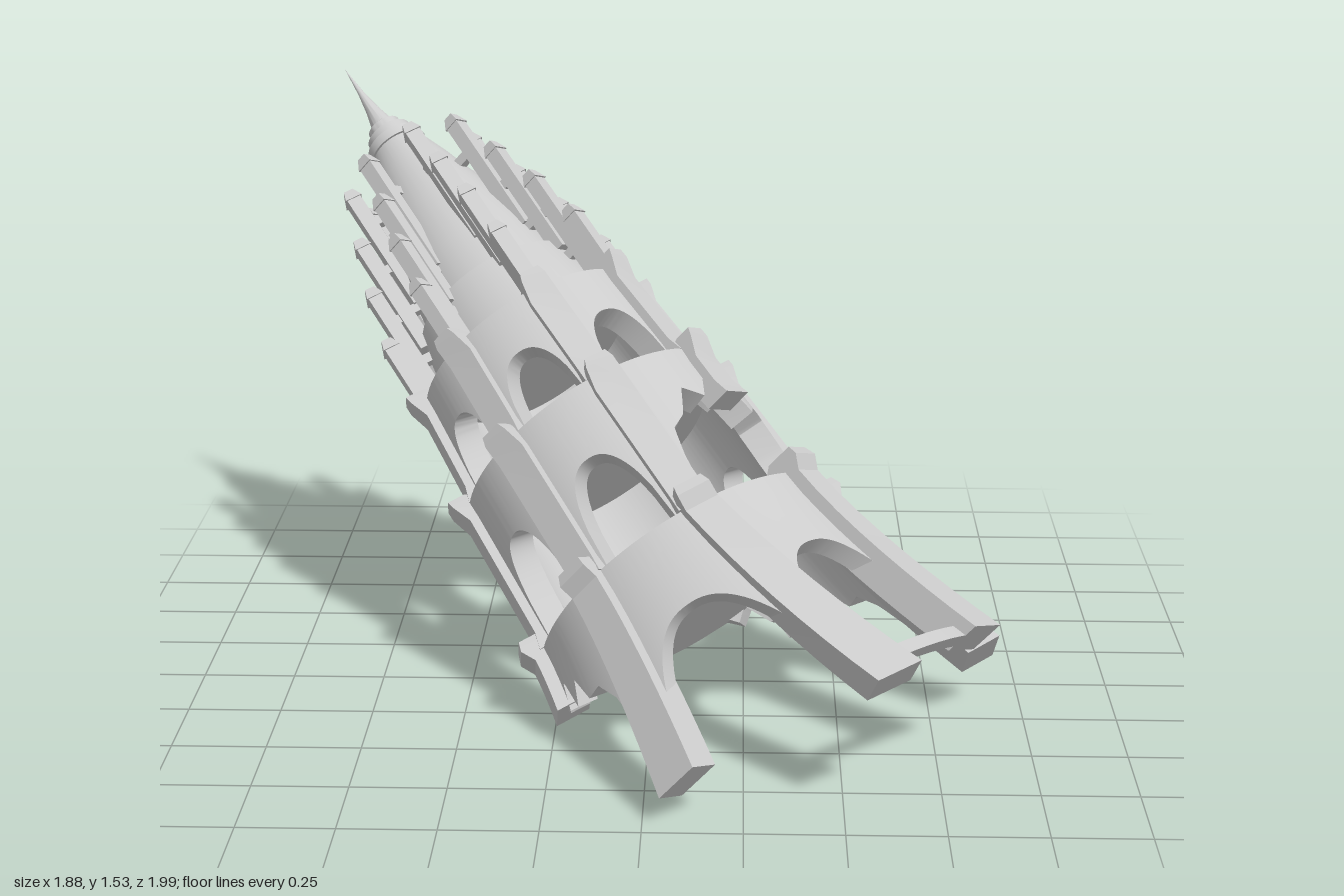
import * as THREE from 'three';
import { toCreasedNormals } from 'three/addons/utils/BufferGeometryUtils.js';

const material = new THREE.MeshStandardMaterial({ color: 0xcccccc, side: THREE.DoubleSide });
const STEP = Math.PI / 4;
const RING = 0.665; // height of the ledge above the base
const polar = (angle, r, h, side = 0) => [
  r * Math.cos(angle) - side * Math.sin(angle), h, r * Math.sin(angle) + side * Math.cos(angle)];

function addMesh(parent, name, geometry, crease = 0.5) {
  const mesh = new THREE.Mesh(toCreasedNormals(geometry, crease), material);
  mesh.name = name;
  parent.add(mesh);
  return mesh;
}

// Closed solid through a series of equal cross-section loops
function loft(sections) {
  const n = sections[0].length, last = (sections.length - 1) * n, index = [];
  for (let i = 0; i < sections.length - 1; i++) {
    for (let j = 0; j < n; j++) {
      const a = i * n + j, b = i * n + (j + 1) % n;
      index.push(a, b, a + n, b, b + n, a + n);
    }
  }
  for (let j = 1; j < n - 1; j++) {
    index.push(0, j + 1, j, last, last + j, last + j + 1);
  }
  const geometry = new THREE.BufferGeometry();
  geometry.setAttribute('position', new THREE.Float32BufferAttribute(sections.flat(2), 3));
  geometry.setIndex(index);
  return geometry;
}

// One bent leg pulls its neighbouring walls along below the ledge
function bend(angle, h) {
  const near = Math.max(0, 1 - Math.abs(angle - 2.5 * STEP) / STEP);
  return angle - 0.18 * near * Math.max(0, 1 - h / RING);
}

// Curved wall bay; bottom(x) gives its lower edge for x from -1 to 1 across the bay
function wallBay(angle, top, bottom, radius, thickness) {
  const sections = [], columns = 48, rows = 5;
  for (let i = 0; i <= columns; i++) {
    const x = -Math.cos(Math.PI * i / columns) * 0.4 + (2 * i / columns - 1) * 0.6;
    const low = bottom(x), outer = [], inner = [];
    for (let j = 0; j <= rows; j++) {
      const h = low + (top - low) * j / rows, a = bend(angle + x * STEP / 2, h);
      outer.push(polar(a, radius(h), h));
      inner.unshift(polar(a, radius(h) - thickness, h));
    }
    sections.push([...outer, ...inner]);
  }
  return loft(sections);
}

// Pier from rows of [height, outer radius, depth, width]
function pier(angle, rows) {
  return loft(rows.map(([h, r, depth, width]) => {
    const a = bend(angle, h);
    return [polar(a, r, h, width / 2), polar(a, r, h, -width / 2),
      polar(a, r - depth, h, -width / 2), polar(a, r - depth, h, width / 2)];
  }));
}

const arch = (base, height, half) => x =>
  Math.abs(x) < half ? base + height * Math.pow(1 - Math.pow(Math.abs(x) / half, 2.4), 0.42) : base;

// Linear interpolation through [x, h] points, for broken edges
const jagged = points => x => {
  for (let i = 1; i < points.length; i++) {
    const [x0, h0] = points[i - 1], [x1, h1] = points[i];
    if (x <= x1) return h0 + (h1 - h0) * Math.max(0, (x - x0) / (x1 - x0));
  }
  return points[points.length - 1][1];
};

const flare = h => 0.465 + 0.16 * Math.pow(Math.max(0, RING - h) / RING, 1.4);

function addBase(tower) {
  const radius = h => flare(h) - 0.015;
  const open = arch(0.08, 0.35, 0.84);
  // Broken bays mirror each other on the two sides
  const side = jagged([[-1, 0.5], [-0.8, 0.47], [-0.6, 0.55], [-0.4, 0.45], [-0.2, 0.51], [0, 0.43],
    [0.3, 0.43], [0.55, 0.36], [0.72, 0.22], [0.84, 0.08], [1, 0.08]]);
  const low = jagged([[-1, 0.655], [-0.1, 0.65], [0.1, 0.61], [0.35, 0.64], [0.6, 0.55], [0.75, 0.58], [1, 0.5]]);
  const bays = [[1, open], [2, open], [3, open], [0, side], [4, x => side(-x)], [-1, low], [5, x => low(-x)]];
  for (const [k, bottom] of bays) {
    addMesh(tower, 'baseWall', wallBay(k * STEP, RING, bottom, radius, 0.06));
  }
  // Four whole legs and two broken stubs: [bay, foot height]
  for (const [k, start] of [[-1, 0.49], [0, 0.08], [1, 0], [2, -0.05], [3, 0.04], [4, 0.49]]) {
    const rows = [];
    for (let i = 0; i <= 8; i++) {
      const h = start + (RING - 0.02 - start) * i / 8;
      rows.push([h, flare(h) + 0.018, 0.1, 0.13 - 0.035 * h / RING]);
    }
    rows.push([RING + 0.02, 0.505, 0.12, 0.095], [RING + 0.05, 0.495, 0.08, 0.08]);
    addMesh(tower, start > 0.4 ? 'brokenLeg' : 'leg', pier((k + 0.5) * STEP, rows));
  }
  // Low curved sill joining the two upper legs
  addMesh(tower, 'sill', wallBay(2 * STEP, 0.04, () => 0, radius, 0.045));
}

function addStorey(tower, s) {
  const radius = h => s.r0 + (s.r1 - s.r0) * (h - s.base) / (s.top - s.base);
  for (let k = 0; k < 8; k++) {
    const bottom = s.broken[k] || arch(s.base, s.arch, 0.66);
    addMesh(tower, s.name + 'Wall', wallBay(k * STEP, s.top, bottom, radius, 0.075));
    const start = s.pierStart[k] || s.base;
    const r = h => radius(h) + 0.022;
    const mid = (start + s.top) / 2;
    addMesh(tower, s.name + 'Buttress', pier((k + 0.5) * STEP, [
      [start, r(start) + 0.012, 0.075, s.width * 1.1], [start + 0.05, r(start + 0.05), 0.07, s.width],
      [mid, r(mid), 0.07, s.width], [s.top - 0.05, r(s.top - 0.05), 0.07, s.width],
      [s.top + 0.01, r(s.top) + 0.022, 0.09, s.width * 0.85], [s.top + 0.035, r(s.top) + 0.024, 0.05, s.width * 0.65]]));
  }
}

function addFloor(tower, r, h) {
  addMesh(tower, 'floor', new THREE.CylinderGeometry(r, r, 0.03, 48)).position.y = h - 0.016;
}

function addSpire(tower) {
  const profile = [[0.285, 1.48], [0.25, 1.68], [0.222, 1.68], [0.205, 1.82], [0.165, 2.0], [0.115, 2.17],
    [0.08, 2.27], [0.088, 2.27], [0.084, 2.3], [0.066, 2.305], [0.068, 2.33], [0.05, 2.335], [0.05, 2.36],
    [0.034, 2.37], [0.02, 2.43], [0.009, 2.5], [0, 2.6]];
  addMesh(tower, 'spire', new THREE.LatheGeometry(profile.map(p => new THREE.Vector2(...p)), 40));
}

function addPinnacles(tower) {
  // [radius, top, length], stepping outward and down
  const rods = [[0.2, 2.18, 0.4], [0.255, 2.02, 0.38], [0.305, 1.86, 0.37], [0.345, 1.69, 0.21]];
  for (let k = 0; k < 8; k++) {
    const cluster = new THREE.Group();
    cluster.name = 'pinnacleCluster';
    cluster.rotation.y = -(k + 0.5) * STEP;
    tower.add(cluster);
    rods.forEach(([r, top, length], i) => {
      addMesh(cluster, 'pinnacle', new THREE.BoxGeometry(0.042, length, 0.044)).position.set(r, top - length / 2, 0);
      const cap = addMesh(cluster, 'pinnacleCap', new THREE.CylinderGeometry(0.02, 0.036, 0.035, 4, 1), 0.2);
      cap.position.set(r, top + 0.012, 0);
      cap.rotation.y = Math.PI / 4;
      // Struts tie each rod to the one inside it
      const inner = i ? rods[i - 1][0] : 0.1;
      for (const drop of [0.1, 0.25].filter(d => d < length)) {
        addMesh(cluster, 'strut', new THREE.BoxGeometry(r - inner, 0.028, 0.026))
          .position.set((r + inner) / 2, top - drop, 0);
      }
    });
  }
}

export function createModel() {
  const model = new THREE.Group();
  model.name = 'fallenTower';
  const tower = new THREE.Group();
  tower.name = 'tower';
  model.add(tower);

  addBase(tower);
  addFloor(tower, 0.4, RING);
  // Bay 2 and part of bay 1 of the lower storey are broken open
  addStorey(tower, {
    name: 'lowerStorey', base: RING, top: 1.14, r0: 0.425, r1: 0.405, arch: 0.28, width: 0.095,
    broken: {
      1: jagged([[-1, 0.665], [-0.62, 0.665], [-0.55, 0.83], [-0.3, 0.93], [0.1, 0.95], [0.4, 0.92], [0.7, 1.01], [1, 0.97]]),
      2: jagged([[-1, 0.97], [-0.7, 1.03], [-0.45, 0.97], [-0.1, 1.01], [0.2, 0.93], [0.5, 0.9], [0.65, 0.8], [0.72, 0.665], [1, 0.665]])
    },
    pierStart: { 1: 0.95, 5: 0.82, 6: 0.82 }
  });
  addFloor(tower, 0.35, 1.14);
  addStorey(tower, {
    name: 'upperStorey', base: 1.14, top: 1.485, r0: 0.37, r1: 0.345, arch: 0.2, width: 0.085,
    broken: {}, pierStart: {}
  });
  addFloor(tower, 0.31, 1.485);
  addSpire(tower);
  addPinnacles(tower);

  // Lay the tower over along its leaning axis, with a slight roll
  const axis = new THREE.Vector3(-0.537, 0.616, -0.577).normalize();
  const across = new THREE.Vector3(-axis.z, 0, axis.x).normalize().applyAxisAngle(axis, -0.05);
  const upper = new THREE.Vector3().crossVectors(across, axis);
  tower.quaternion.setFromRotationMatrix(new THREE.Matrix4().makeBasis(across, axis, upper));
  tower.position.set(-0.945, 1.51, -1).addScaledVector(axis, -2.6);
  return model;
}
